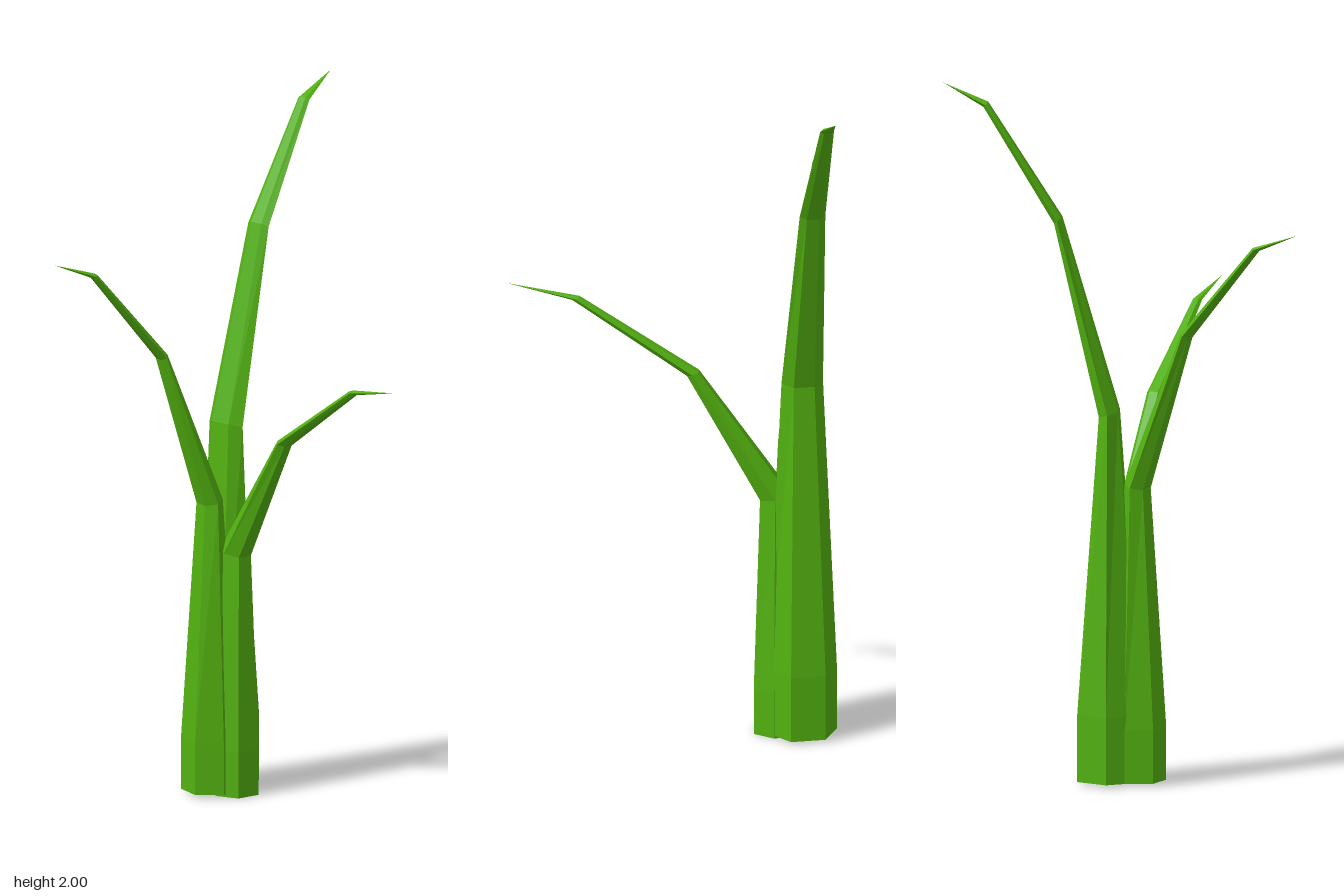
import * as THREE from 'three';

const stalkGreen = new THREE.MeshStandardMaterial({ color: 0x52b010 });
stalkGreen.name = 'stalkGreen';

// Rings from base to tip: s = reach, y = height, w = half width,
// t / drop = half thickness along the reach and how far its outer edge dips.
const RINGS = [
  { s: 0, y: 0, w: 1, t: 0.0866, drop: 0 },
  { s: 0, y: 0.2, w: 1, t: 0.0866, drop: 0 },
  { s: 0, y: 1.06, w: 0.6, t: 0.027, drop: 0.008 },
  { s: 0.145, y: 1.612, w: 0.37, t: 0.01, drop: 0.008 },
  { s: 0.35, y: 1.94, w: 0.2, t: 0.006, drop: 0.006 },
  { s: 0.47, y: 2.0, w: 0, t: 0, drop: 0 },
];

// Six-sided curved stalk that leans from (x, z) towards its tip (tipX, tipZ)
function makeStalk({ name, x, z, tipX, tipZ, radius, height, base }) {
  const reach = Math.hypot(tipX - x, tipZ - z);
  const dx = (tipX - x) / reach, dz = (tipZ - z) / reach;
  const bend = reach / 0.47;

  const rings = RINGS.map((r, i) => {
    const thick = i < 2 ? radius * 0.866 : r.t * bend;
    const y = i === 0 ? base : r.y * height;
    return Array.from({ length: 6 }, (_, k) => {
      const a = (k + 0.5) * Math.PI / 3;
      const c = Math.cos(a) / 0.866;
      const s = r.s * bend + c * thick;
      const p = Math.sin(a) * r.w * radius;
      return [x + dx * s - dz * p, y - c * r.drop * height, z + dz * s + dx * p];
    });
  });

  const positions = [];
  const tri = (...corners) => corners.forEach((v) => positions.push(...v));
  const last = rings.length - 1;
  for (let k = 0; k < 6; k++) {
    const n = (k + 1) % 6;
    tri([x, base, z], rings[0][k], rings[0][n]); // underside
    for (let i = 0; i < last; i++) {
      const lo = rings[i], hi = rings[i + 1];
      tri(lo[k], hi[k], lo[n]);
      if (i < last - 1) tri(hi[k], hi[n], lo[n]);
    }
  }
  const geometry = new THREE.BufferGeometry();
  geometry.setAttribute('position', new THREE.Float32BufferAttribute(positions, 3));
  geometry.computeVertexNormals(); // unshared corners give flat facets
  const mesh = new THREE.Mesh(geometry, stalkGreen);
  mesh.name = name;
  return mesh;
}

export function createModel() {
  const group = new THREE.Group();
  group.name = 'plant';
  group.add(
    makeStalk({ name: 'tallStalk', x: 0.04, z: -0.315, tipX: 0.512, tipZ: -0.318, radius: 0.1, height: 1, base: 0.008 }),
    makeStalk({ name: 'middleStalk', x: -0.04, z: -0.31, tipX: -0.512, tipZ: -0.493, radius: 0.081, height: 0.803, base: 0.008 }),
    makeStalk({ name: 'shortStalk', x: 0, z: -0.247, tipX: -0.195, tipZ: 0.49, radius: 0.07, height: 0.665, base: 0 }),
  );
  return group;
}
